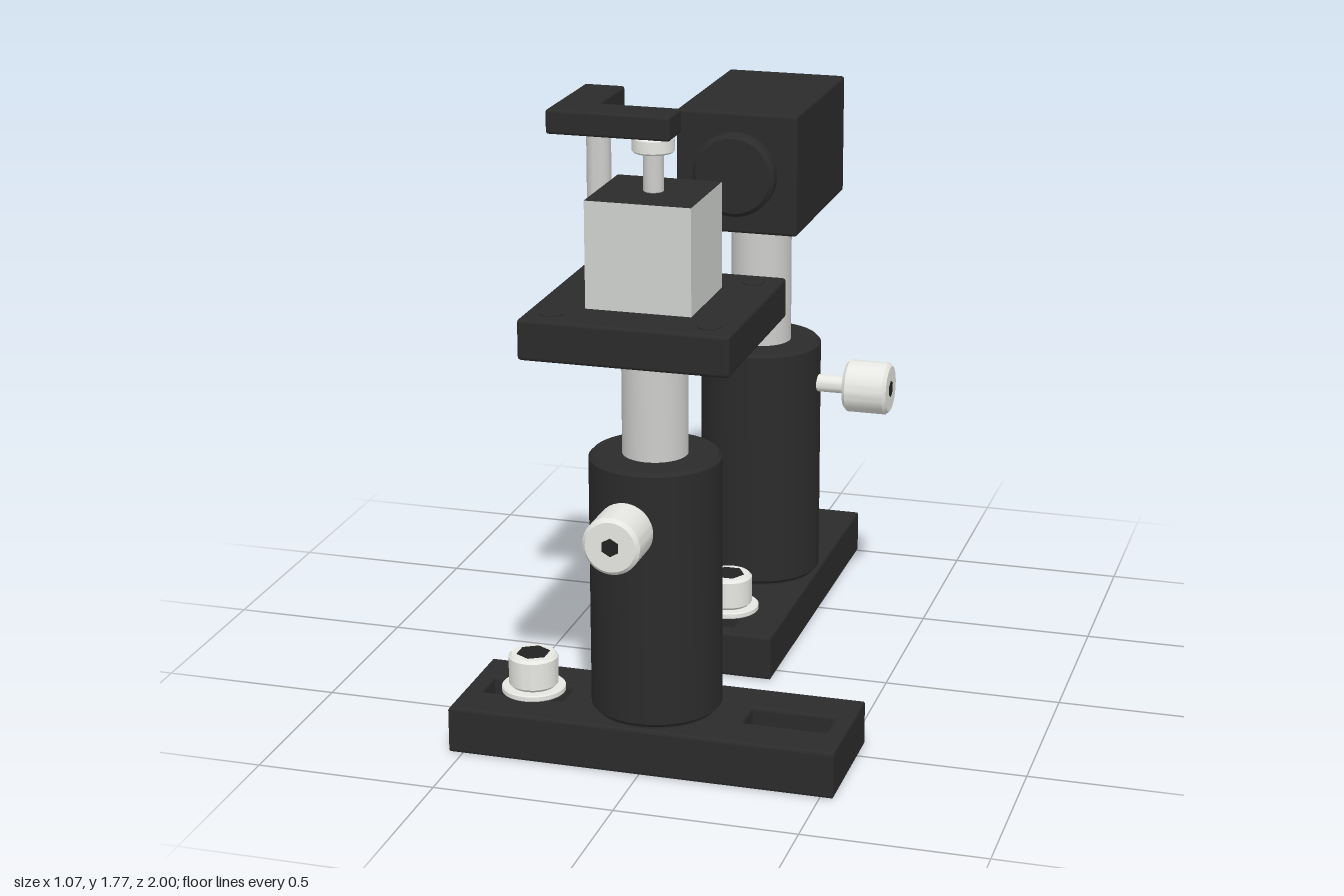
import * as THREE from 'three';
import { RoundedBoxGeometry } from 'three/addons/geometries/RoundedBoxGeometry.js';
import { toCreasedNormals } from 'three/addons/utils/BufferGeometryUtils.js';

const mat = (name, color) => Object.assign(new THREE.MeshStandardMaterial({ color }), { name });

export function createModel() {
  const black = mat('black anodised metal', 0x2b2b2b);
  const steel = mat('steel', 0xcdcecb);
  const bright = mat('bright steel', 0xe6e7e2);
  const glass = mat('frosted glass', 0xcfd2cf);
  const socketDark = mat('socket dark', 0x222222);

  const add = (parent, name, geometry, material, x = 0, y = 0, z = 0) => {
    const mesh = new THREE.Mesh(geometry, material);
    mesh.name = name;
    mesh.position.set(x, y, z);
    parent.add(mesh);
    return mesh;
  };
  const group = (parent, name, x = 0, y = 0, z = 0) => {
    const g = new THREE.Group();
    g.name = name;
    g.position.set(x, y, z);
    parent.add(g);
    return g;
  };
  const block = (w, h, d, r = 0.01) => new RoundedBoxGeometry(w, h, d, 2, r);

  // Upright cylinder from y = 0 to h with chamfered rims
  const rod = (r, h, c = 0.006, segments = 48) => {
    const profile = [[0, 0], [r - c, 0], [r, c], [r, h - c], [r - c, h], [0, h]];
    const lathe = new THREE.LatheGeometry(profile.map(([x, y]) => new THREE.Vector2(x, y)), segments);
    return toCreasedNormals(lathe, 0.5);
  };
  const hexagon = (r) => toCreasedNormals(new THREE.CylinderGeometry(r, r, 0.006, 6), 0.5);

  // Flat base with two slots, lying on y = 0
  const slottedBase = () => {
    const rect = (path, x0, x1, h) => {
      path.moveTo(x0, -h);
      path.lineTo(x1, -h);
      path.lineTo(x1, h);
      path.lineTo(x0, h);
      path.closePath();
      return path;
    };
    const shape = rect(new THREE.Shape(), -0.537, 0.537, 0.177);
    for (const [x0, x1] of [[-0.485, -0.255], [0.255, 0.485]]) {
      shape.holes.push(rect(new THREE.Path(), x0, x1, 0.05));
    }
    const b = 0.008;
    const geometry = new THREE.ExtrudeGeometry(shape, {
      depth: 0.132 - 2 * b, bevelThickness: b, bevelSize: b, bevelOffset: -b, bevelSegments: 2,
    });
    return geometry.rotateX(-Math.PI / 2).translate(0, b, 0);
  };

  // Post holder on a slotted base, thumbscrew towards local +z
  const buildStand = (parent, name, z, postTop) => {
    const stand = group(parent, name, 0, 0, z);
    add(stand, 'base', slottedBase(), black);
    add(stand, 'holderNeck', rod(0.16, 0.03), black, 0, 0.125);
    add(stand, 'postHolder', rod(0.177, 0.717, 0.01, 64), black, 0, 0.14);
    add(stand, 'post', rod(0.088, postTop - 0.8, 0.008), steel, 0, 0.8);

    const bolt = group(stand, 'baseBolt', -0.353, 0.132, 0);
    add(bolt, 'washer', rod(0.088, 0.018, 0.003), bright);
    add(bolt, 'boltHead', rod(0.068, 0.092, 0.008), bright, 0, 0.018);
    add(bolt, 'boltSocket', hexagon(0.046), socketDark, 0, 0.109);

    const screw = group(stand, 'thumbscrew', 0, 0.732, 0.165);
    screw.rotation.x = Math.PI / 2;
    add(screw, 'screwShaft', rod(0.026, 0.11, 0.002, 24), bright);
    add(screw, 'knob', rod(0.077, 0.133, 0.01), bright, 0, 0.097);
    add(screw, 'knobSocket', hexagon(0.025), socketDark, 0, 0.228);
    return stand;
  };

  const model = new THREE.Group();
  model.name = 'opticalMounts';

  // Front stand: platform, cube and clamp
  const front = buildStand(model, 'prismStand', 0.604, 1.19);
  add(front, 'platform', block(0.562, 0.11, 0.562), black, 0, 1.225);
  for (const x of [-0.21, 0.21]) {
    for (const z of [-0.21, 0.21]) add(front, 'platformScrew', rod(0.03, 0.006, 0.001, 24), black, x, 1.278, z);
  }
  add(front, 'glassCube', new THREE.BoxGeometry(0.284, 0.287, 0.284),
    [glass, glass, black, black, glass, glass], 0, 1.4225);
  const clamp = group(front, 'clamp');
  add(clamp, 'clampPillar', rod(0.033, 0.44, 0.003, 32), steel, -0.215, 1.277, -0.206);
  add(clamp, 'clampArmBack', block(0.112, 0.065, 0.326, 0.008), black, -0.217, 1.7425, -0.108);
  add(clamp, 'clampArmFront', block(0.228, 0.065, 0.11, 0.008), black, -0.054, 1.7425, 0);
  add(clamp, 'clampScrewShaft', rod(0.027, 0.115, 0.002, 24), steel, 0, 1.566);
  add(clamp, 'clampScrewHead', rod(0.056, 0.042, 0.005, 32), bright, 0, 1.67);

  // Back stand: turned a quarter, carrying the housing
  const back = buildStand(model, 'sourceStand', -0.462, 1.27);
  back.rotation.y = Math.PI / 2;
  const head = group(model, 'sourceHead', 0, 1.424, -0.462);
  add(head, 'housing', block(0.354, 0.35, 0.56, 0.01), black);
  const aperture = add(head, 'aperture', rod(0.12, 0.05, 0.012, 48), black, 0, 0, 0.27);
  aperture.rotation.x = Math.PI / 2;

  return model;
}
